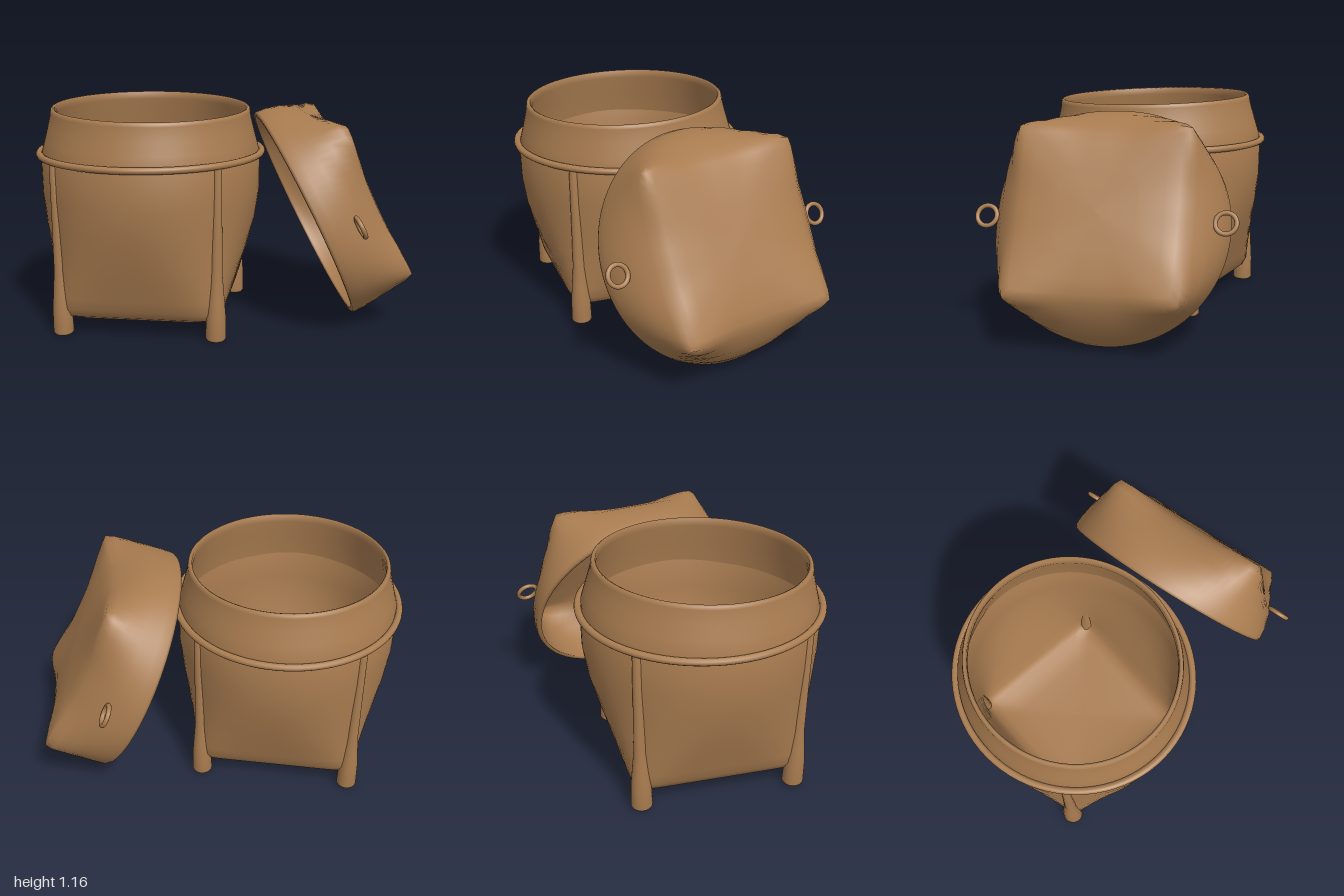
import * as THREE from 'three';

const wicker = new THREE.MeshStandardMaterial({ color: 0xa97c50 });
wicker.name = 'wicker brown';

// Skins cross-sections that run from square to round.
// Each row: [y, half width at mid side, radius at corner, corner lift]
function shell(name, rows, segs = 96) {
  const pos = [], idx = [];
  rows.forEach(([y, mid, corner, lift = 0], i) => {
    const p = mid > 0 ? 1 / Math.max(0.015, 0.5 - Math.log2(corner / mid)) : 2;
    for (let j = 0; j < segs; j++) {
      const t = (j / segs) * Math.PI * 2, c = Math.cos(t), s = Math.sin(t);
      const r = mid / Math.pow(Math.abs(c) ** p + Math.abs(s) ** p, 1 / p);
      pos.push(r * c, y + lift * Math.sin(2 * t) ** 4, r * s);
      if (i === rows.length - 1) continue;
      const a = i * segs + j, b = i * segs + (j + 1) % segs;
      idx.push(a, a + segs, b, b, a + segs, b + segs);
    }
  });
  const geo = new THREE.BufferGeometry();
  geo.setAttribute('position', new THREE.Float32BufferAttribute(pos, 3));
  geo.setIndex(idx);
  geo.computeVertexNormals();
  return mesh(name, geo);
}

function mesh(name, geo) {
  const m = new THREE.Mesh(geo, wicker);
  m.name = name;
  return m;
}

// Inner copy of a wall, t thinner; floor moved by dy
const inside = (rows, t, dy) => rows.map(([y, m, c, l = 0], i) => [
  y + dy * (1 - i / (rows.length - 1)),
  Math.max(0, m - t), Math.max(0, c - t), l]);

function ring(name, radius, tube, y) {
  const m = mesh(name, new THREE.TorusGeometry(radius, tube, 12, 80));
  m.rotation.x = Math.PI / 2;
  m.position.y = y;
  return m;
}

function createBasket() {
  const g = new THREE.Group();
  g.name = 'basket';
  // Square-footed body that opens to a circle
  const wall = [
    [0.045, 0, 0], [0.05, 0.15, 0.17], [0.06, 0.27, 0.35], [0.075, 0.36, 0.48],
    [0.1, 0.405, 0.545], [0.14, 0.43, 0.565], [0.2, 0.45, 0.565], [0.3, 0.48, 0.565],
    [0.4, 0.512, 0.565], [0.55, 0.552, 0.57], [0.7, 0.575, 0.578], [0.9, 0.578, 0.58],
  ];
  g.add(shell('body', [...wall, ...inside(wall, 0.035, 0.03).reverse()]));

  // Corner ribs that thicken into feet and lean outward a little
  const profile = [[0, 0], [0.045, 0], [0.053, 0.012], [0.05, 0.13], [0.042, 0.22], [0.031, 0.34],
    [0.026, 0.6], [0.022, 0.9], [0, 0.9]].map(([r, y]) => new THREE.Vector2(r, y));
  for (const sx of [-1, 1]) for (const sz of [-1, 1]) {
    const leg = mesh('leg', new THREE.LatheGeometry(profile, 24));
    leg.position.set(sx * 0.398, 0, sz * 0.384);
    leg.rotation.set(sz * 0.02, 0, -sx * 0.016);
    g.add(leg);
  }

  // Ring at the shoulder
  g.add(ring('shoulderRing', 0.587, 0.018, 0.905));

  // Tapered collar with a rounded lip, slightly tilted
  const band = [
    [-0.03, 0.572], [0.02, 0.572], [0.08, 0.556], [0.15, 0.538], [0.2, 0.526], [0.22, 0.525],
    [0.235, 0.521], [0.242, 0.512], [0.236, 0.501], [0.2, 0.5], [0.1, 0.525], [-0.03, 0.545],
  ].map(([y, r]) => [y, r, r]);
  const collar = shell('collar', band);
  collar.position.y = 0.9;
  collar.rotation.set(0.03, 0, -0.012);
  g.add(collar);

  g.position.set(-0.395, 0, 0.103);
  g.scale.z = 1.04;
  return g;
}

function createLid() {
  const g = new THREE.Group();
  g.name = 'lid';
  // Pinched square top widening to a round opening, listed top down
  const wall = [
    [-0.012, 0, 0], [-0.014, 0.2, 0.25], [-0.022, 0.33, 0.45, 0.01], [-0.036, 0.395, 0.55, 0.025],
    [-0.055, 0.432, 0.6, 0.042], [-0.085, 0.468, 0.612, 0.035], [-0.14, 0.522, 0.612, 0.01],
    [-0.22, 0.573, 0.61], [-0.3, 0.599, 0.61], [-0.35, 0.605, 0.608], [-0.365, 0.6, 0.602],
  ];
  g.add(shell('lidShell', [...inside(wall, 0.02, -0.025), ...wall.reverse()]));

  // Tie loops on two opposite sides
  for (const x of [-0.612, 0.6]) {
    const loop = ring('tieLoop', 0.052, 0.012, -0.18);
    loop.position.x = x;
    g.add(loop);
  }

  // Leans against the basket
  const u = new THREE.Vector3(-0.24, 0.02, -0.97).normalize();
  const n = new THREE.Vector3(0.879, 0.429, -0.209);
  n.addScaledVector(u, -n.dot(u)).normalize();
  const v = new THREE.Vector3().crossVectors(u, n);
  g.quaternion.setFromRotationMatrix(new THREE.Matrix4().makeBasis(u, n, v));
  g.position.set(0.728, 0.702, -0.128);
  return g;
}

export function createModel() {
  const model = new THREE.Group();
  model.name = 'basketWithLid';
  model.add(createBasket(), createLid());
  return model;
}
